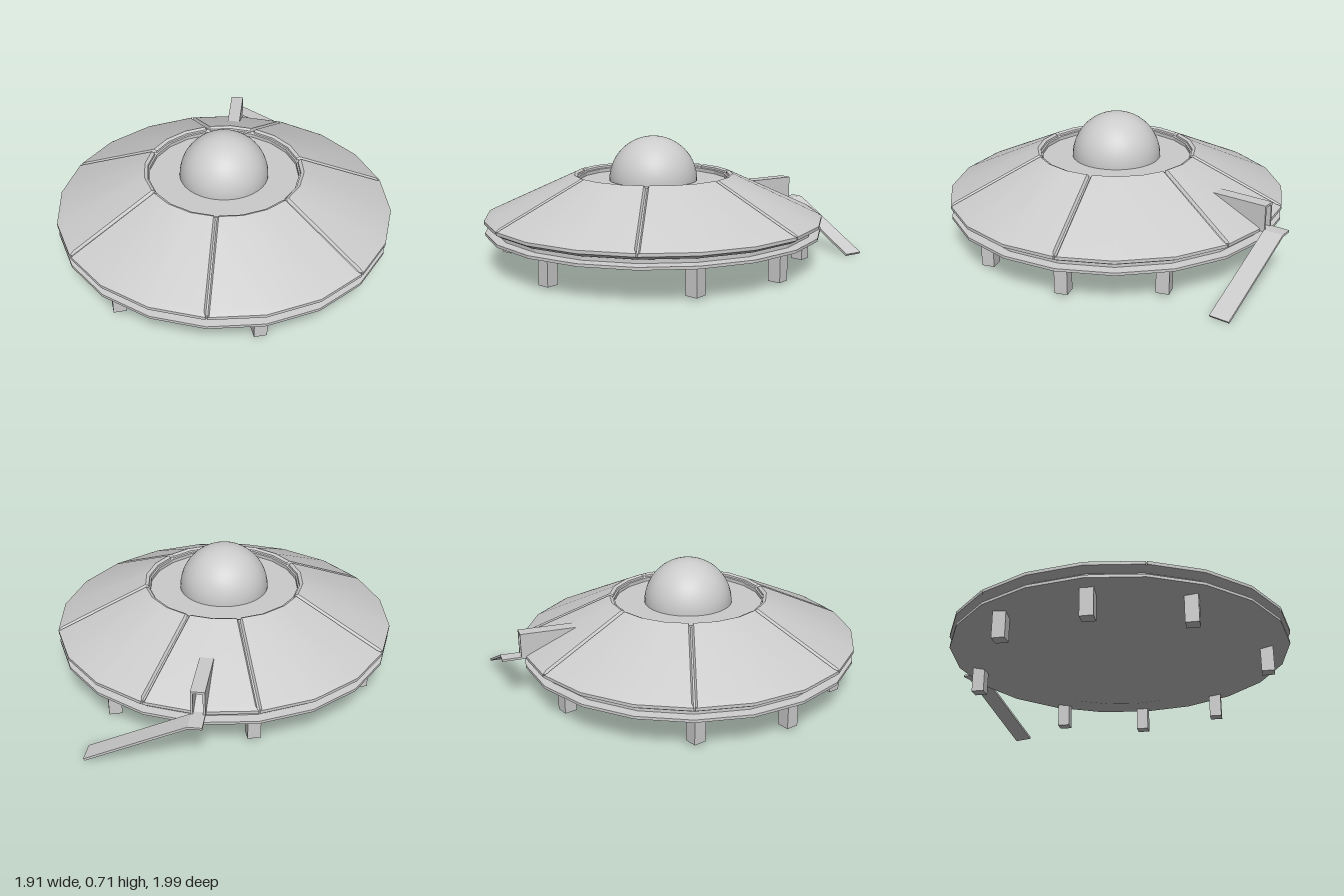
import * as THREE from 'three';
import { toCreasedNormals } from 'three/addons/utils/BufferGeometryUtils.js';

const STEP = Math.PI / 10; // the saucer has 20 sides
const material = new THREE.MeshStandardMaterial({ color: 0xcccccc });

function add(parent, name, geometry, x = 0, y = 0, z = 0) {
  const mesh = new THREE.Mesh(geometry, material);
  mesh.name = name;
  mesh.position.set(x, y, z);
  parent.add(mesh);
  return mesh;
}

function lathe(points, crease = 0.18) {
  const profile = points.map(([r, y]) => new THREE.Vector2(r, y));
  return toCreasedNormals(new THREE.LatheGeometry(profile, 20), crease);
}

function extrude(points, depth) {
  const shape = new THREE.Shape(points.map(([x, y]) => new THREE.Vector2(x, y)));
  return new THREE.ExtrudeGeometry(shape, { depth, bevelEnabled: false });
}

// Roof panel: a profile swept over whole sides, with bevelled radial edges
function panelGeometry(first, sides) {
  const profile = [[0.425, 0.45], [0.432, 0.489], [0.45, 0.497], [0.93, 0.276],
    [0.955, 0.262], [0.955, 0.245], [0.92, 0.225]];
  const start = first * STEP, end = (first + sides) * STEP;
  // each section: angle, distance moved along the arc, drop
  const sections = [[start, 0.003, 0.02], [start, 0.014, 0]];
  for (let i = 1; i < sides; i++) sections.push([start + i * STEP, 0, 0]);
  sections.push([end, -0.014, 0], [end, -0.003, 0.02]);

  const positions = [], index = [], n = profile.length;
  for (const [angle, shift, drop] of sections) {
    profile.forEach(([r, y], j) => {
      const a = angle + shift / r;
      const side = (Math.floor(a / STEP + 1e-6) + 0.5) * STEP;
      const chord = r * Math.cos(STEP / 2) / Math.cos(a - side);
      const lowered = j > 0 && j < 4 ? y - drop : y;
      positions.push(chord * Math.cos(a), lowered, chord * Math.sin(a));
    });
  }
  for (let i = 0; i < sections.length - 1; i++) {
    for (let j = 0; j < n - 1; j++) {
      const a = i * n + j, b = a + n;
      index.push(a, b, a + 1, b, b + 1, a + 1);
    }
  }
  const geometry = new THREE.BufferGeometry();
  geometry.setAttribute('position', new THREE.Float32BufferAttribute(positions, 3));
  geometry.setIndex(index);
  return toCreasedNormals(geometry, 0.4);
}

export function createModel() {
  const model = new THREE.Group();
  model.name = 'flyingSaucer';
  const saucer = new THREE.Group();
  saucer.name = 'saucer';
  saucer.position.z = 0.04;
  model.add(saucer);

  // Lower hull with the recessed band above it
  add(saucer, 'lowerHull', lathe([[0, 0.09], [0.545, 0.09], [0.95, 0.18], [0.95, 0.195],
    [0.9, 0.2], [0.9, 0.228]]));

  // Roof core seen in the grooves, and the sunken deck
  add(saucer, 'roofCore', lathe([[0.88, 0.226], [0.92, 0.226], [0.945, 0.243], [0.945, 0.253],
    [0.44, 0.483], [0.422, 0.475], [0.422, 0.455], [0, 0.455]]));

  // Roof panels: six wide ones and a narrow one at the hatch
  for (const [first, sides] of [[0, 3], [3, 3], [6, 3], [9, 3], [12, 3], [15, 2], [17, 3]]) {
    add(saucer, 'roofPanel', panelGeometry(first, sides));
  }

  // Dome
  add(saucer, 'dome', new THREE.SphereGeometry(0.25, 40, 20, 0, Math.PI * 2, 0, Math.PI / 2), 0, 0.457, 0);

  // Legs
  for (const step of [0, 2, 5, 8, 10, 12, 15, 18]) {
    const a = step * STEP;
    add(saucer, 'leg', new THREE.BoxGeometry(0.07, 0.15, 0.07),
      0.845 * Math.cos(a), 0.092, 0.82 * Math.sin(a));
  }

  // Hatch: local x points outward from the saucer
  const hatch = new THREE.Group();
  hatch.name = 'hatch';
  hatch.rotation.y = 4 * STEP;
  saucer.add(hatch);
  const wall = [[0.65, 0.385], [0.9, 0.25], [0.975, 0.25], [0.975, 0.39]];
  for (const z of [-0.037, 0.025]) add(hatch, 'hatchWall', extrude(wall, 0.012), 0, 0, z);
  add(hatch, 'hatchRoof', new THREE.BoxGeometry(0.325, 0.012, 0.074), 0.8125, 0.389, 0);
  add(hatch, 'hatchSill', new THREE.BoxGeometry(0.075, 0.012, 0.074), 0.9375, 0.256, 0);

  // Landing and ramp, bent sideways down to the ground
  const ramp = extrude([[-0.037, 0.25], [0.03, 0.25], [0.56, 0], [0.567, 0.011],
    [0.035, 0.262], [-0.037, 0.262]], 0.108);
  ramp.rotateY(-Math.PI / 2);
  add(hatch, 'ramp', ramp, 1.08, 0, 0);

  return model;
}
